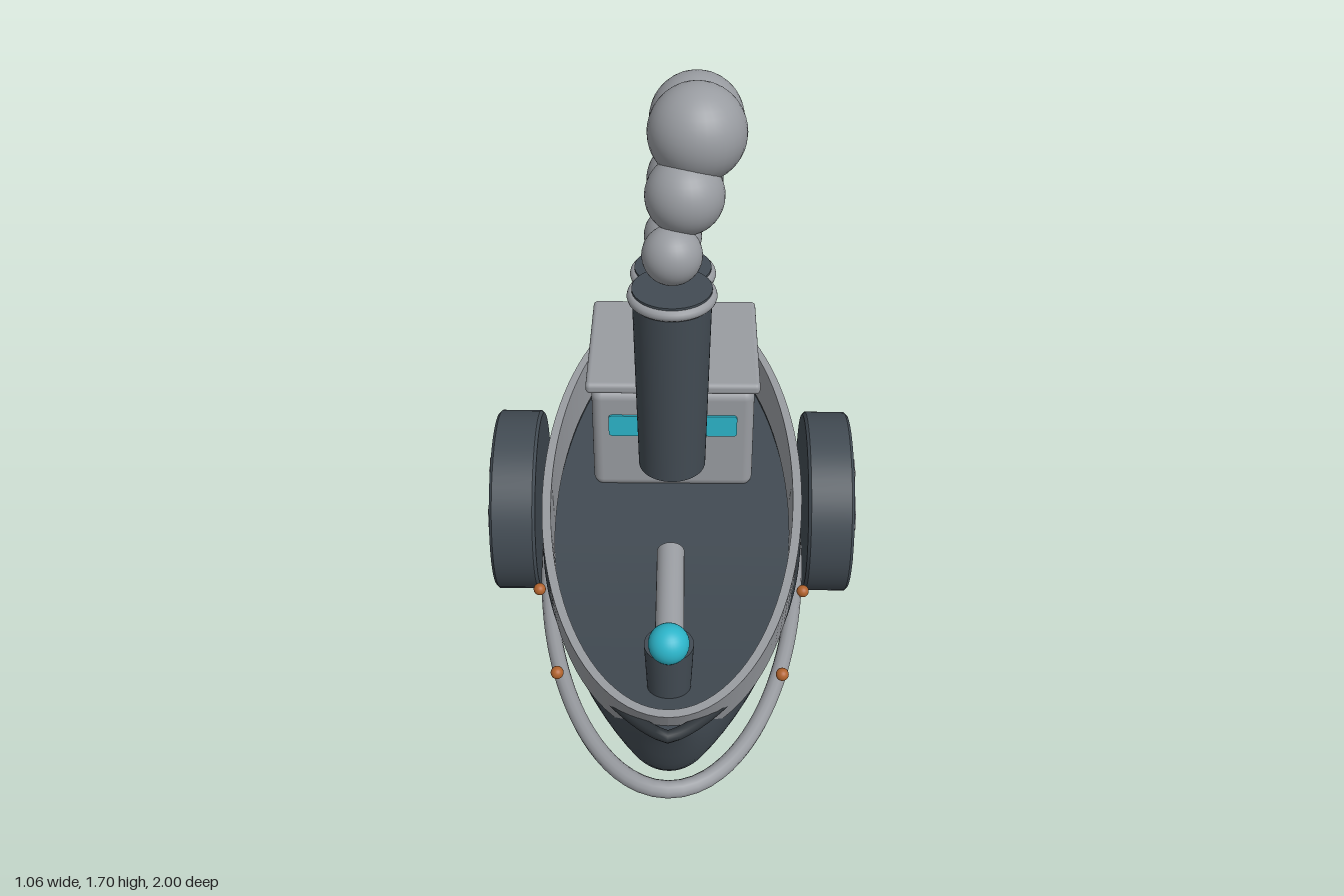
import * as THREE from 'three';
import { RoundedBoxGeometry } from 'three/addons/geometries/RoundedBoxGeometry.js';

const mat = (name, color, side = THREE.FrontSide) => {
  const m = new THREE.MeshStandardMaterial({ color, side });
  m.name = name;
  return m;
};

// Surface through rows of points; a row is a list of [x, y, z]
function loft(rows) {
  const n = rows[0].length, index = [];
  for (let i = 0; i < rows.length - 1; i++) {
    for (let j = 0; j < n - 1; j++) {
      const a = i * n + j, b = a + 1, c = a + n, d = c + 1;
      index.push(a, b, c, b, d, c);
    }
  }
  const g = new THREE.BufferGeometry();
  g.setAttribute('position', new THREE.Float32BufferAttribute(rows.flat(2), 3));
  g.setIndex(index);
  g.computeVertexNormals();
  return g;
}

// Hull lines: half width, sheer height and keel height along z
const LEN = 0.98;
const taper = (z) => Math.max(0, 1 - (z / LEN) ** 2);
const halfWidth = (z) => 0.362 * Math.pow(taper(z), z > 0 ? 0.75 : 0.5);
const sheer = (z) => 0.368 + 0.117 * Math.pow(Math.max(0, (z - 0.2) / 0.78), 1.5);
const keel = (z) => Math.min(sheer(z),
  0.37 - 0.37 * Math.pow(taper(z), 0.6) + 0.15 * THREE.MathUtils.smoothstep(z, 0.84, 0.97));

export function createModel() {
  const model = new THREE.Group();
  model.name = 'paddleSteamer';
  const gray = mat('lightGray', 0x999ca1);
  const dark = mat('slate', 0x424b53);
  const black = mat('darkSlate', 0x30363b);
  const cyan = mat('cyan', 0x2cb5ca);
  const copper = mat('copper', 0xb0622c);

  const add = (name, geo, material, x = 0, y = 0, z = 0, parent = model) => {
    const m = new THREE.Mesh(geo, material);
    m.name = name;
    m.position.set(x, y, z);
    parent.add(m);
    return m;
  };
  const ball = (r) => new THREE.SphereGeometry(r, 32, 20);

  // Hull and deck
  const hullRows = [], deckRows = [];
  for (let i = 0; i <= 64; i++) {
    const z = -LEN * Math.cos((i / 64) * Math.PI);
    const w = halfWidth(z), s = sheer(z), k = keel(z), row = [];
    for (let j = 0; j <= 32; j++) {
      const a = (j / 32 - 0.5) * Math.PI;
      row.push([w * Math.sin(a), s - (s - k) * Math.cos(a), z]);
    }
    hullRows.push(row);
    deckRows.push([[w, s, z], [-w, s, z]]);
  }
  add('hull', loft(hullRows), dark);
  add('deck', loft(deckRows), dark);

  // Dark rail along the sheer line
  const railPoints = [];
  for (let i = 0; i < 64; i++) {
    const a = (i / 64) * Math.PI * 2, z = LEN * Math.cos(a);
    railPoints.push(new THREE.Vector3(Math.sign(Math.sin(a)) * halfWidth(z), sheer(z), z));
  }
  add('sheerRail', new THREE.TubeGeometry(new THREE.CatmullRomCurve3(railPoints, true), 160, 0.016, 10, true), black);

  // Rub rail around the waterline
  const rubPoints = [];
  for (let i = 0; i < 48; i++) {
    const a = (i / 48) * Math.PI * 2;
    rubPoints.push(new THREE.Vector3(0.362 * Math.sin(a), 0.293, 0.976 * Math.cos(a)));
  }
  add('rubRail', new THREE.TubeGeometry(new THREE.CatmullRomCurve3(rubPoints, true), 128, 0.022, 12, true), gray);

  // Bulwark: oval wall, raked at the bow; corners are [half width, y, bow z, stern z]
  const corners = [
    [0.372, 0.535, 0.965, 0.96], [0.367, 0.39, 0.895, 0.96],
    [0.342, 0.39, 0.87, 0.935], [0.347, 0.535, 0.94, 0.935],
  ];
  const bulwark = new THREE.Group();
  bulwark.name = 'bulwark';
  model.add(bulwark);
  corners.forEach((c, k) => {
    const rows = [];
    for (let i = 0; i <= 96; i++) {
      const a = (i / 96) * Math.PI * 2, cz = Math.cos(a);
      rows.push([c, corners[(k + 1) % 4]].map(([w, y, bow, stern]) =>
        [w * Math.sin(a), y, cz * (cz > 0 ? bow : stern)]));
    }
    add('bulwarkFace', loft(rows), gray, 0, 0, 0, bulwark);
  });

  // Cabin with roof and front windows
  add('cabin', new RoundedBoxGeometry(0.48, 0.35, 0.445, 4, 0.03), gray, 0, 0.535, -0.352);
  add('cabinRoof', new RoundedBoxGeometry(0.51, 0.036, 0.475, 3, 0.014), gray, 0, 0.728, -0.355);
  const pane = new THREE.Shape(), pw = 0.047, ph = 0.036, pr = 0.012;
  pane.moveTo(-pw + pr, -ph).lineTo(pw - pr, -ph).quadraticCurveTo(pw, -ph, pw, -ph + pr)
    .lineTo(pw, ph - pr).quadraticCurveTo(pw, ph, pw - pr, ph)
    .lineTo(-pw + pr, ph).quadraticCurveTo(-pw, ph, -pw, ph - pr)
    .lineTo(-pw, -ph + pr).quadraticCurveTo(-pw, -ph, -pw + pr, -ph);
  const paneGeo = new THREE.ExtrudeGeometry(pane, { depth: 0.009, bevelEnabled: false });
  for (const s of [-1, 1]) add('cabinWindow', paneGeo, cyan, s * 0.143, 0.595, -0.131);

  // Chimneys, each with a rim and three puffs of smoke
  for (const [z, drop] of [[0.07, 0], [-0.155, 0.065]]) {
    const stack = new THREE.Group();
    stack.name = 'chimney';
    stack.position.set(0, -drop, z);
    model.add(stack);
    add('chimneyPipe', new THREE.CylinderGeometry(0.107, 0.094, 0.575, 40), dark, 0, 0.9, 0, stack);
    add('chimneyRim', new THREE.TorusGeometry(0.103, 0.017, 12, 48).rotateX(Math.PI / 2), gray, 0, 1.165, 0, stack);
    [[0, 1.285, 0, 0.08], [0.032, 1.425, -0.065, 0.105], [0.063, 1.57, -0.133, 0.13]]
      .forEach(([x, y, pz, r]) => add('smokePuff', ball(r), gray, x, y, pz, stack));
  }

  // Flag at the stern
  add('flagpole', new THREE.CylinderGeometry(0.018, 0.018, 0.76, 16), dark, 0, 0.965, -0.61);
  add('flag', new THREE.BoxGeometry(0.009, 0.13, 0.215), gray, 0, 1.27, -0.725);

  // Bow post with lamp, and the sloping barrel behind it
  add('bowPost', new THREE.CylinderGeometry(0.062, 0.054, 0.17, 32), dark, 0, 0.5, 0.77);
  add('bowLamp', ball(0.051), cyan, 0, 0.615, 0.8);
  const barrel = add('barrel', new THREE.CylinderGeometry(0.037, 0.037, 0.36, 24), gray, 0, 0.532, 0.57);
  barrel.rotation.x = Math.PI / 2 + 0.125;

  // Copper rivets along the sides
  for (const s of [-1, 1]) {
    for (const [x, z] of [[0.368, 0.325], [0.295, 0.645]]) {
      for (const e of [-1, 1]) add('rivet', ball(0.017), copper, s * x, 0.355, e * z);
    }
  }

  // Paddle wheels: drum, eight crossed bars and a hub
  const drumProfile = [[0, -0.065], [0.257, -0.065], [0.257, -0.065], [0.265, -0.057], [0.265, -0.057],
    [0.265, 0.057], [0.265, 0.057], [0.257, 0.065], [0.257, 0.065], [0, 0.065]]
    .map(([r, y]) => new THREE.Vector2(r, y));
  for (const s of [-1, 1]) {
    const wheel = new THREE.Group();
    wheel.name = s > 0 ? 'leftPaddleWheel' : 'rightPaddleWheel';
    wheel.position.set(s * 0.45, 0.39, -0.033);
    model.add(wheel);
    add('wheelDrum', new THREE.LatheGeometry(drumProfile, 56).rotateZ(Math.PI / 2), dark, 0, 0, 0, wheel);
    for (let i = 0; i < 8; i++) {
      const a = (i / 8) * Math.PI * 2;
      const bar = add('paddleBar', new THREE.BoxGeometry(0.02, 0.038, 0.2), gray,
        s * 0.064, 0.165 * Math.cos(a), 0.165 * Math.sin(a), wheel);
      bar.rotation.x = a;
    }
    add('wheelHub', ball(0.05), gray, s * 0.063, 0, 0, wheel).scale.x = 0.35;
  }
  return model;
}
